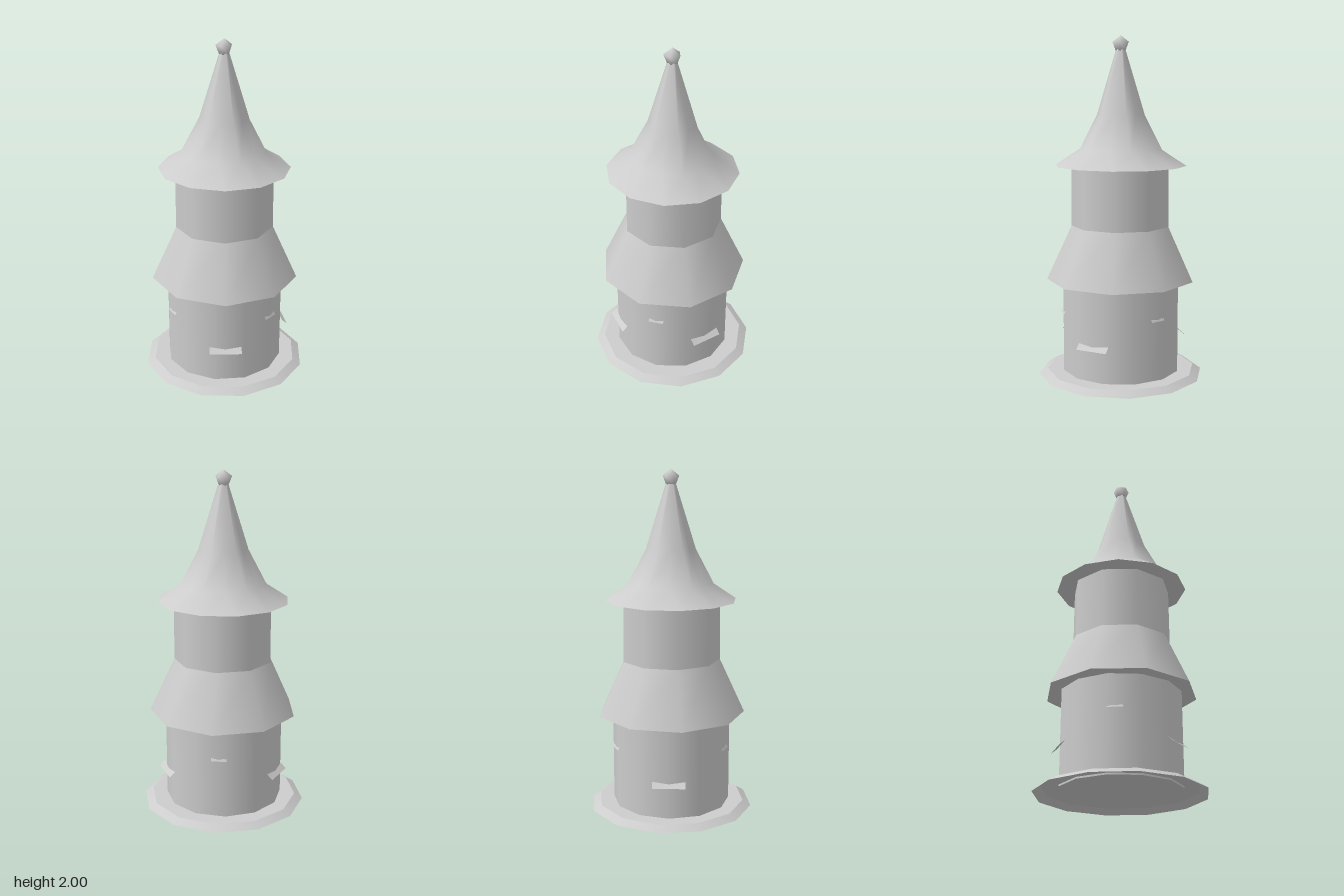
import * as THREE from 'three';

const deg = THREE.MathUtils.degToRad;

export function createModel() {
  const tower = new THREE.Group();
  tower.name = 'tower';
  const stone = new THREE.MeshStandardMaterial({ color: 0xcccccc, side: THREE.DoubleSide });
  stone.name = 'paleStone';

  const add = (name, geometry, parent = tower) => {
    const mesh = new THREE.Mesh(geometry, stone);
    mesh.name = name;
    parent.add(mesh);
    return mesh;
  };

  // Closed drum or frustum between two heights, one corner at the given turn from +z
  const drum = (name, bottomR, topR, y0, y1, sides, turn = 0) => {
    const g = new THREE.CylinderGeometry(topR, bottomR, y1 - y0, sides, 1, false, deg(turn));
    g.translate(0, (y0 + y1) / 2, 0);
    return add(name, g);
  };

  // Open turned band
  const band = (name, points, sides, turn) =>
    add(name, new THREE.LatheGeometry(points.map(p => new THREE.Vector2(...p)), sides, deg(turn)));

  // Footing: a thin sloping skirt with a flat step up to the wall
  band('footingSkirt', [[0.488, 0], [0.44, 0.03]], 12, -7.5);
  band('footingStep', [[0.44, 0.03], [0.335, 0.03]], 12, -7.5);

  // Walls and the flared lower roof
  drum('lowerWall', 0.349, 0.349, 0.02, 0.575, 12).position.set(-0.002, 0, 0.002);
  drum('lowerRoof', 0.438, 0.29, 0.575, 0.895, 9);
  drum('upperWall', 0.29, 0.288, 0.895, 1.25, 9);

  // Spire: twelve-sided eave narrowing into six-sided rings
  const rings = [
    { y: 1.25, r: 0.386, turn: 9.5, hex: false },
    { y: 1.345, r: 0.25, turn: 0, hex: true },
    { y: 1.545, r: 0.145, turn: 0, hex: true },
    { y: 1.92, r: 0.028, turn: 0, hex: true },
  ];
  const positions = [], index = [];
  rings.forEach(({ y, r, turn, hex }, j) => {
    for (let i = 0; i < 12; i++) {
      const a = deg(i * 30 + turn);
      const radius = hex && i % 2 ? r * Math.cos(Math.PI / 6) : r;
      positions.push(radius * Math.sin(a), y, radius * Math.cos(a));
      if (j === 0) continue;
      const n = (i + 1) % 12, lo = (j - 1) * 12, hi = j * 12;
      index.push(lo + i, lo + n, hi + n, lo + i, hi + n, hi + i);
    }
  });
  const spire = new THREE.BufferGeometry();
  spire.setAttribute('position', new THREE.Float32BufferAttribute(positions, 3));
  spire.setIndex(index);
  spire.computeVertexNormals();
  add('spire', spire);

  // Flat underside of the eave
  band('eaveUnderside', [[0, 1.25], [0.386, 1.25]], 12, 9.5);

  // Five-sided finial knob
  band('finial', [[0, 1.91], [0.03, 1.913], [0.05, 1.962], [0, 2]], 5, 90);

  // Small sloping ledges on the lower wall, with a notch in the upper edge
  const ledge = (name, angle, y, width, rise, inner, outer) => {
    const w = width / 2;
    const g = new THREE.BufferGeometry();
    g.setAttribute('position', new THREE.Float32BufferAttribute([
      -w, 0, outer, w, 0, outer, w, rise, inner, 0, rise * 0.6, inner + 0.008, -w, rise, inner,
    ], 3));
    g.setIndex([0, 1, 3, 1, 2, 3, 0, 3, 4]);
    g.computeVertexNormals();
    add(name, g).rotation.y = deg(angle);
    tower.children.at(-1).position.y = y;
  };
  [40, 140, 270].forEach(a => ledge('lowerLedge', a, 0.222, 0.19, 0.03, 0.345, 0.378));
  [90, 204, 336].forEach(a => ledge('upperLedge', a, 0.382, 0.09, 0.016, 0.342, 0.354));

  return tower;
}
